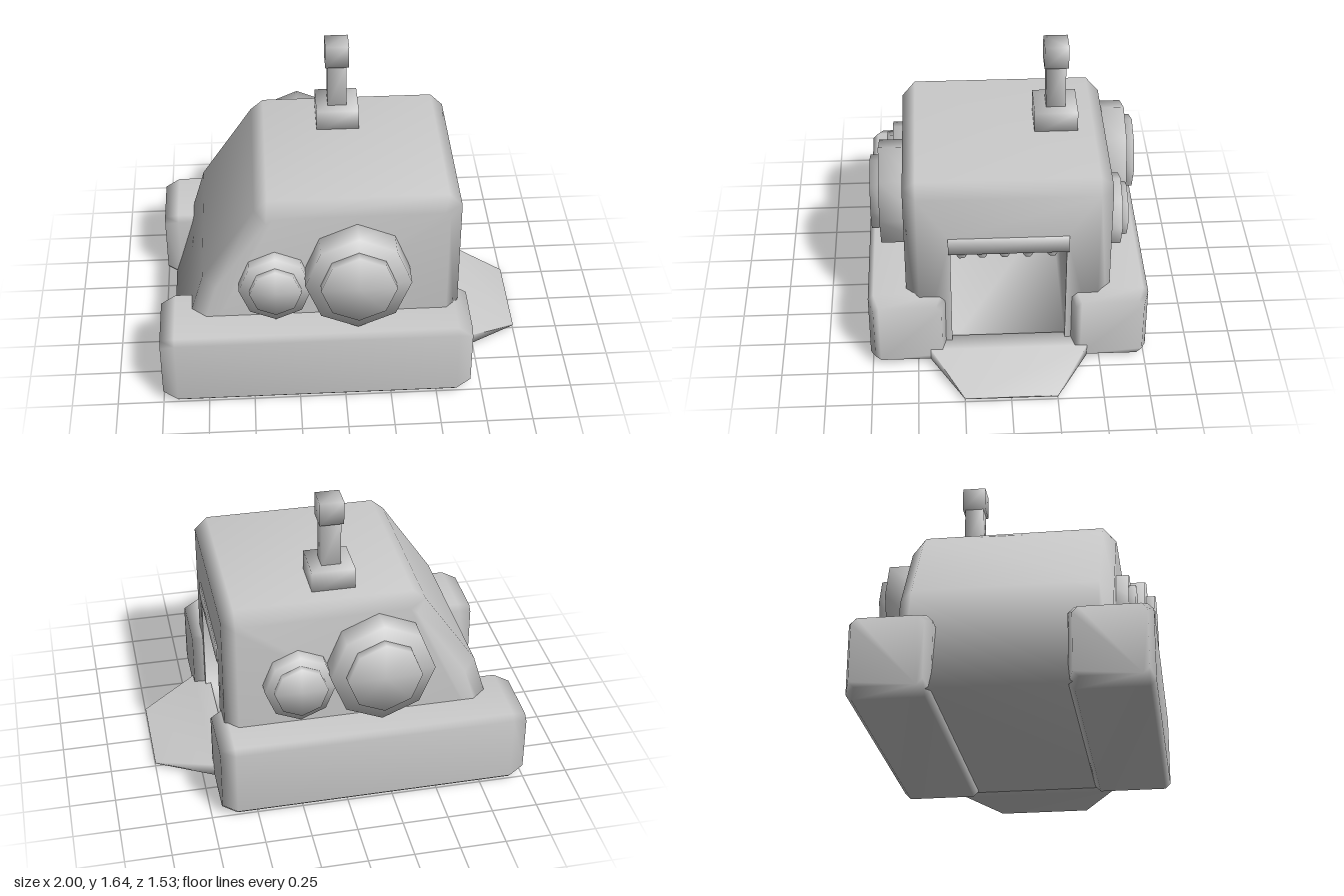
import * as THREE from 'three';
import { mergeVertices, mergeGeometries } from 'three/addons/utils/BufferGeometryUtils.js';

const material = new THREE.MeshStandardMaterial({ color: 0xcccccc });

// Share vertices so that shading runs smoothly over the edges
function smooth(geometry) {
  geometry.deleteAttribute('normal');
  geometry.deleteAttribute('uv');
  const merged = mergeVertices(geometry, 1e-4);
  merged.computeVertexNormals();
  return merged;
}

// Joins rings of [x, y, z] points, anticlockwise seen from the far end
function loft(rings, { capStart = true, skip = () => false } = {}) {
  const n = rings[0].length;
  const index = [];
  for (let r = 0; r < rings.length - 1; r++) {
    for (let i = 0; i < n; i++) {
      if (skip(r, i)) continue;
      const a = r * n + i, b = r * n + (i + 1) % n;
      index.push(a, b, b + n, a, b + n, a + n);
    }
  }
  const last = (rings.length - 1) * n;
  for (let i = 1; i < n - 1; i++) {
    if (capStart) index.push(0, i + 1, i);
    index.push(last, last + i, last + i + 1);
  }
  const geometry = new THREE.BufferGeometry();
  geometry.setAttribute('position', new THREE.Float32BufferAttribute(rings.flat(2), 3));
  geometry.setIndex(index);
  return geometry;
}

function add(parent, name, geometry, x = 0, y = 0, z = 0) {
  const mesh = new THREE.Mesh(smooth(geometry), material);
  mesh.name = name;
  mesh.position.set(x, y, z);
  parent.add(mesh);
  return mesh;
}

// Rectangle across x, from y0 to y1 and z0 to z1
const rect = (x, y0, y1, z0, z1) => [[x, y0, z1], [x, y0, z0], [x, y1, z0], [x, y1, z1]];

// Rectangle across x with cut corners
function cutRect(x, y0, y1, z0, z1, c) {
  return [
    [x, y0, z1 - c], [x, y0, z0 + c], [x, y0 + c, z0], [x, y1 - c, z0],
    [x, y1, z0 + c], [x, y1, z1 - c], [x, y1 - c, z1], [x, y0 + c, z1],
  ];
}

// Hull with chamfered edges and a doorway cut in its +x wall
function bodyGeometry() {
  const outer = [[-0.95, 0.03], [0.63, 0.03], [0.63, 1.08], [0.56, 1.15], [-0.4, 1.15], [-0.47, 1.09], [-0.76, 0.66]];
  const inset = [[-0.87, 0.03], [0.56, 0.03], [0.56, 1.05], [0.53, 1.08], [-0.37, 1.08], [-0.41, 1.05], [-0.69, 0.63]];
  const ring = (profile, z) => profile.map(([x, y]) => [x, y, z]);
  const shell = loft(
    [ring(inset, -0.555), ring(outer, -0.485), ring(outer, 0.485), ring(inset, 0.555)],
    { skip: (r, i) => r === 1 && i === 1 },
  );

  const box = (x, y0, y1) => [[-x, y0], [x, y0], [x, y1], [-x, y1]].map((p) => new THREE.Vector2(...p));
  const wall = new THREE.Shape(box(0.485, 0.03, 1.08));
  wall.holes.push(new THREE.Path(box(0.31, 0.1, 0.82)));
  const panel = new THREE.ShapeGeometry(wall).rotateY(Math.PI / 2).translate(0.63, 0, 0);
  panel.deleteAttribute('normal');
  panel.deleteAttribute('uv');
  return mergeGeometries([shell, panel]);
}

// Pair of stacked octagonal discs, built facing +z
function lamp(parent, name, x, y, radius, innerRadius, front, innerFront) {
  const group = new THREE.Group();
  group.name = name;
  const disc = (part, r, z0, z1) => {
    const geometry = new THREE.CylinderGeometry(r, r, z1 - z0, 8).rotateX(Math.PI / 2).scale(0.96, 1, 1);
    add(group, part, geometry, x, y, (z0 + z1) / 2);
  };
  disc('lampRim', radius, 0.45, front);
  disc('lampLens', innerRadius, front - 0.05, innerFront);
  parent.add(group);
}

export function createModel() {
  const model = new THREE.Group();
  model.name = 'vehicle';

  add(model, 'body', bodyGeometry());

  // Cabin interior, facing inward and open at the doorway
  add(model, 'cabinInterior', loft(
    [rect(0.63, 0.1, 0.82, -0.31, 0.31), rect(-0.45, 0.17, 0.82, -0.31, 0.31)],
    { capStart: false },
  ));

  // Side tracks
  for (const side of [1, -1]) {
    const c = side * 0.55;
    add(model, side > 0 ? 'frontTrack' : 'backTrack', loft([
      cutRect(-1, 0.035, 0.405, c - 0.185, c + 0.185, 0.03),
      cutRect(-0.92, 0, 0.437, c - 0.213, c + 0.213, 0.03),
      cutRect(0.61, 0, 0.437, c - 0.213, c + 0.213, 0.03),
      cutRect(0.69, 0.035, 0.405, c - 0.185, c + 0.185, 0.03),
    ]));
  }

  // Loading ramp
  add(model, 'ramp', loft([
    rect(0.6, 0.03, 0.12, -0.43, 0.43),
    rect(0.69, 0.03, 0.1, -0.43, 0.43),
    rect(1, 0.018, 0.028, -0.25, 0.25),
  ]));

  // Door flap with a row of teeth
  add(model, 'doorFlap', new THREE.BoxGeometry(0.09, 0.1, 0.645), 0.593, 0.773, 0);
  for (const z of [0.25, 0.14, 0.02, -0.105, -0.235]) {
    add(model, 'doorTooth', new THREE.CylinderGeometry(0.035, 0.026, 0.05, 6), 0.595, 0.708, z);
  }

  // Lamps on both sides, the back set turned half round
  lamp(model, 'frontLargeLamp', 0.07, 0.735, 0.295, 0.21, 0.69, 0.74);
  lamp(model, 'frontSmallLamp', -0.37, 0.66, 0.205, 0.145, 0.62, 0.655);
  const backLamps = new THREE.Group();
  backLamps.name = 'backLamps';
  backLamps.rotation.y = Math.PI;
  lamp(backLamps, 'backLargeLamp', 0.2, 0.78, 0.295, 0.21, 0.685, 0.735);
  lamp(backLamps, 'backSmallLamp', -0.235, 0.7, 0.2, 0.15, 0.63, 0.665);
  model.add(backLamps);

  // Roof mast
  const mast = new THREE.Group();
  mast.name = 'mast';
  mast.position.set(0.01, 0, -0.28);
  add(mast, 'mastBase', new THREE.BoxGeometry(0.235, 0.135, 0.235), 0, 1.198, 0);
  add(mast, 'mastPost', new THREE.BoxGeometry(0.105, 0.27, 0.105), 0, 1.39, 0);
  add(mast, 'mastHead', new THREE.BoxGeometry(0.13, 0.13, 0.13), 0, 1.58, 0);
  model.add(mast);

  return model;
}
